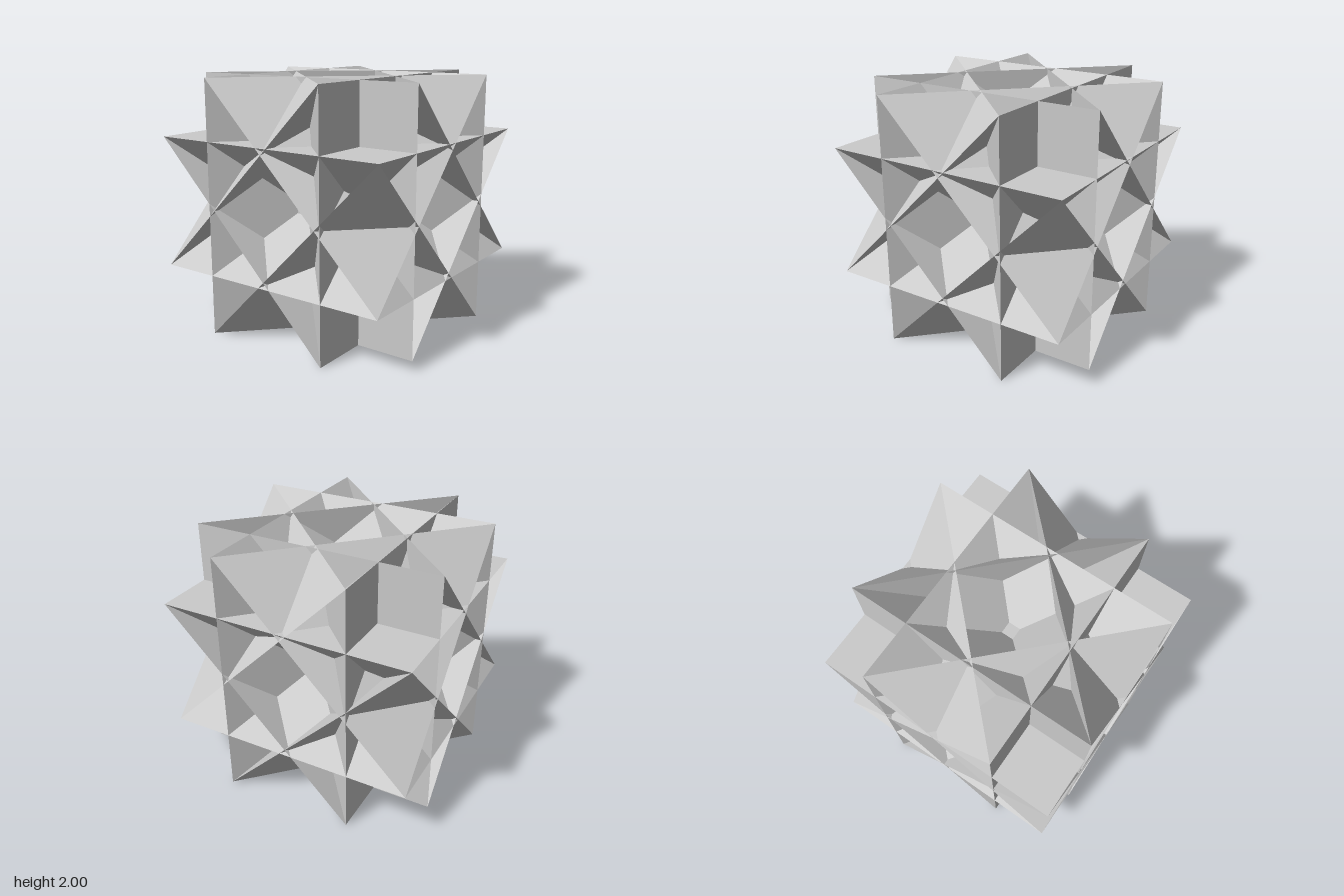
import * as THREE from 'three';

// Star polyhedron: 24 vertices at all permutations of (±1, ±1, ±A),
// spanned by 6 squares, 12 diagonal rectangles and 8 triangles that cross each other.
const A = 0.525;
const SIGNS = [1, -1];

const cycle = ([x, y, z], k) => [[x, y, z], [z, x, y], [y, z, x]][k];

// Mesh of flat convex polygons, each wound to face away from the centre
function facetMesh(name, polygons, material) {
  const positions = [];
  for (const polygon of polygons) {
    const p = polygon.map((c) => new THREE.Vector3(...c));
    const centre = p.reduce((s, v) => s.add(v), new THREE.Vector3());
    const normal = p[1].clone().sub(p[0]).cross(p[2].clone().sub(p[0]));
    if (normal.dot(centre) < 0) p.reverse();
    for (let i = 1; i < p.length - 1; i++) {
      for (const v of [p[0], p[i], p[i + 1]]) positions.push(v.x, v.y, v.z);
    }
  }
  const geometry = new THREE.BufferGeometry();
  geometry.setAttribute('position', new THREE.Float32BufferAttribute(positions, 3));
  geometry.computeVertexNormals();
  const mesh = new THREE.Mesh(geometry, material);
  mesh.name = name;
  return mesh;
}

export function createModel() {
  const material = new THREE.MeshStandardMaterial({
    color: 0xcccccc, flatShading: true, side: THREE.DoubleSide,
  });
  const squares = [], rectangles = [], triangles = [];

  for (let k = 0; k < 3; k++) {
    for (const s of SIGNS) {
      // Square plate across each axis
      squares.push([[1, 1, s * A], [-1, 1, s * A], [-1, -1, s * A], [1, -1, s * A]]
        .map((c) => cycle(c, k)));
      // Diagonal plates, two on each side of the axis
      for (const t of SIGNS) {
        rectangles.push([[1, t * A, s], [-1, t * A, s], [-1, -t, -s * A], [1, -t, -s * A]]
          .map((c) => cycle(c, k)));
      }
    }
  }

  // One large triangle in each octant
  for (const x of SIGNS) for (const y of SIGNS) for (const z of SIGNS) {
    triangles.push([[x, y, -z * A], [x, -y * A, z], [-x * A, y, z]]);
  }

  const star = new THREE.Group();
  star.name = 'starPolyhedron';
  star.add(
    facetMesh('squareFaces', squares, material),
    facetMesh('diagonalFaces', rectangles, material),
    facetMesh('triangleFaces', triangles, material),
  );
  star.position.y = 1;

  const model = new THREE.Group();
  model.name = 'model';
  model.add(star);
  return model;
}
